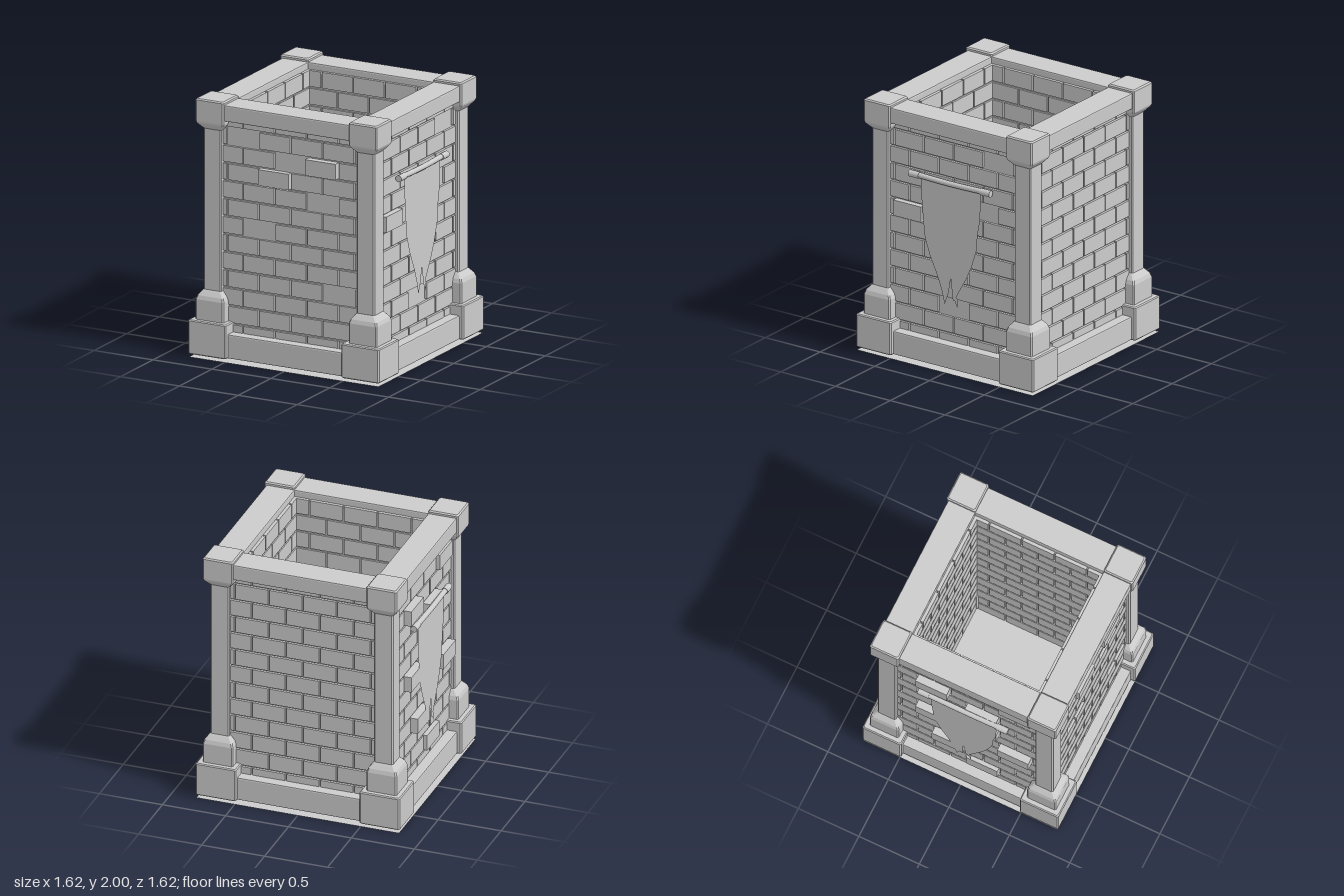
import * as THREE from 'three';
import { RoundedBoxGeometry } from 'three/addons/geometries/RoundedBoxGeometry.js';

const stone = new THREE.MeshStandardMaterial({ color: 0xcccccc, flatShading: true });
const smooth = new THREE.MeshStandardMaterial({ color: 0xcccccc });
const thin = new THREE.MeshStandardMaterial({ color: 0xcccccc, side: THREE.DoubleSide });

function add(parent, name, geometry, material, x = 0, y = 0, z = 0) {
  const mesh = new THREE.Mesh(geometry, material);
  mesh.name = name;
  mesh.position.set(x, y, z);
  parent.add(mesh);
  return mesh;
}

// Long rail with softened edges, given by its limits in y and z
function rail(parent, name, y0, y1, z0, z1) {
  const g = new RoundedBoxGeometry(1.2, y1 - y0, z1 - z0, 1, 0.01);
  add(parent, name, g, stone, 0, (y0 + y1) / 2, (z0 + z1) / 2);
}

// Corner post: [half width, height] profile around a square with chamfered corners
function cornerPost(parent, x, z) {
  const profile = [
    [0, 0], [0.072, 0], [0.072, 0.024], [0.152, 0.024], [0.16, 0.032], [0.16, 0.282], [0.152, 0.29],
    [0.12, 0.29], [0.12, 0.445], [0.11, 0.475], [0.085, 0.507], [0.075, 0.518],
    [0.075, 1.765], [0.085, 1.775], [0.115, 1.81], [0.12, 1.825],
    [0.12, 1.99], [0.11, 2], [0, 2],
  ].map(([r, y]) => new THREE.Vector2(r, y));
  const geometry = new THREE.LatheGeometry(profile, 8, Math.PI / 8);
  const p = geometry.attributes.position;
  for (let i = 0; i < p.count; i++) {
    const px = p.getX(i), pz = p.getZ(i);
    const r = Math.hypot(px, pz);
    const inner = Math.max(0, r - 0.01);
    const xIsLong = Math.abs(px) > Math.abs(pz);
    p.setX(i, Math.sign(px) * (xIsLong ? r : inner));
    p.setZ(i, Math.sign(pz) * (xIsLong ? inner : r));
  }
  add(parent, 'cornerPost', geometry, stone, x, 0, z);
}

// One wall facing +z; special lists [row, centre, face] of proud or missing bricks
const GONE = 0.66;
function wall(name, angle, special) {
  const side = new THREE.Group();
  side.name = name;
  side.rotation.y = angle;
  add(side, 'mortar', new THREE.BoxGeometry(1.3, 1.9, 0.155), stone, 0, 0.951, 0.5975);

  const pitch = 0.138, length = 0.27, end = 0.6;
  for (let row = -2; row <= 11; row++) {
    const y0 = Math.max(0.004, 0.28 + row * pitch);
    const y1 = 0.28 + row * pitch + pitch - 0.014;
    for (let i = -3; i <= 3; i++) {
      const centre = (i + (row % 2 === 0 ? 0.5 : 0)) * length;
      const x0 = Math.max(-end, centre - length / 2 + 0.006);
      const x1 = Math.min(end, centre + length / 2 - 0.006);
      if (x1 - x0 < 0.03) continue;
      const found = special.find(([r, c]) => r === row && Math.abs(c - centre) < 0.1);
      const face = found ? found[2] : 0.695;
      add(side, 'brick', new THREE.BoxGeometry(x1 - x0, y1 - y0, face - 0.505), stone,
        (x0 + x1) / 2, (y0 + y1) / 2, (face + 0.505) / 2);
    }
  }

  rail(side, 'baseRail', 0.024, 0.21, 0.56, 0.775);
  rail(side, 'topRail', 1.85, 1.975, 0.53, 0.755);
  return side;
}

// Torn cloth on a rod, hung in front of a wall that faces +z
function banner(depth, angle) {
  const group = new THREE.Group();
  group.name = 'banner';
  group.rotation.y = angle;

  const outline = [
    [-0.275, 1.485], [-0.265, 1.3], [-0.25, 1.13], [-0.235, 1.0], [-0.19, 0.87],
    [-0.12, 0.72], [-0.08, 0.61], [-0.055, 0.51], [-0.02, 0.61], [0, 0.73],
    [0.02, 0.56], [0.035, 0.56], [0.06, 0.51], [0.065, 0.57], [0.05, 0.59],
    [0.1, 0.68], [0.14, 0.75], [0.19, 0.86], [0.235, 1.0], [0.245, 1.13],
    [0.268, 1.25], [0.275, 1.485],
  ].map(([x, y]) => new THREE.Vector2(x, y));
  add(group, 'cloth', new THREE.ShapeGeometry(new THREE.Shape(outline)), thin, 0, 0, depth - 0.005);

  // Rod sags slightly in the middle
  const curve = new THREE.CatmullRomCurve3([[-0.36, 1.492], [0, 1.484], [0.36, 1.492]]
    .map(([x, y]) => new THREE.Vector3(x, y, depth)));
  add(group, 'rod', new THREE.TubeGeometry(curve, 8, 0.021, 12), smooth);
  for (const s of [-1, 1]) {
    const knob = add(group, 'rodEnd', new THREE.CylinderGeometry(0.026, 0.026, 0.09, 12), smooth,
      s * 0.325, 1.488, depth);
    knob.rotation.z = Math.PI / 2;
  }
  return group;
}

export function createModel() {
  const model = new THREE.Group();
  model.name = 'stoneTower';

  const floor = add(model, 'floor', new THREE.PlaneGeometry(1.61, 1.61), thin);
  floor.rotation.x = Math.PI / 2;

  const q = Math.PI / 2;
  model.add(
    wall('frontWall', 0, [[10, -0.4, GONE], [9, 0, GONE], [7, 0.27, GONE], [5, -0.27, GONE],
      [2, 0.4, GONE], [9, 0.27, 0.73], [8, -0.135, 0.72]]),
    wall('leftWall', q, [[10, 0.4, GONE], [7, 0.27, GONE], [1, 0, GONE], [6, -0.4, 0.722]]),
    wall('backWall', 2 * q, []),
    wall('rightWall', -q, [[10, 0.4, 0.722], [9, -0.27, 0.75], [8, 0.135, 0.745],
      [6, 0.135, 0.745], [5, -0.27, 0.75], [4, 0.4, 0.75], [2, -0.135, 0.75], [0, 0.135, 0.722]]),
  );

  for (const x of [-0.65, 0.65]) for (const z of [-0.65, 0.65]) cornerPost(model, x, z);

  model.add(banner(0.735, q), banner(0.757, -q));
  return model;
}
